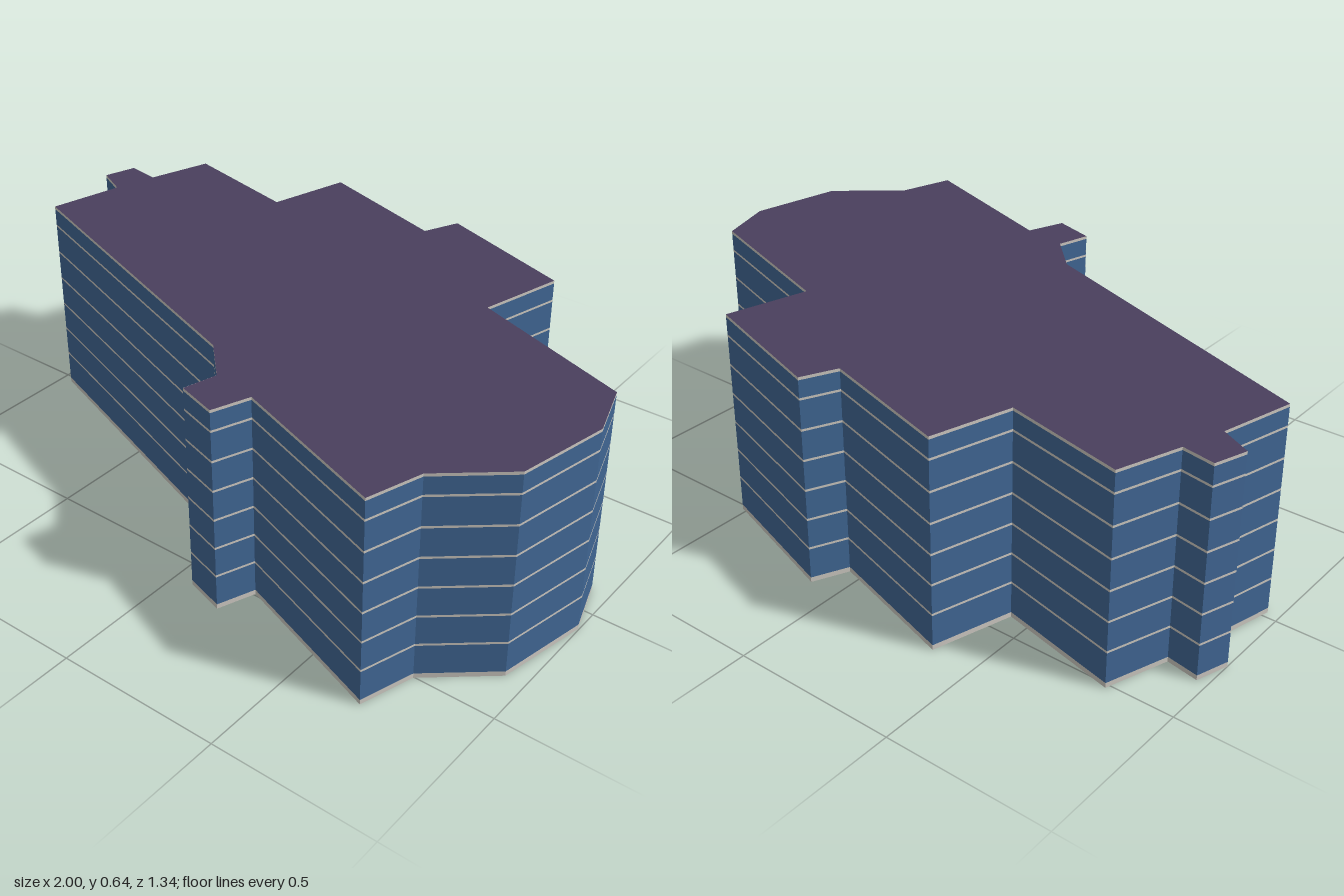
import * as THREE from 'three';

const HEIGHT = 0.645;

// Footprint corners (x, z), clockwise seen from above
const PLAN = [
  [-0.366, -0.672], [0.045, -0.55], [0.094, -0.655], [0.516, -0.516],
  [0.449, -0.265], [0.944, -0.095], [0.997, 0.075], [0.94, 0.35],
  [0.757, 0.503], [0.706, 0.666], [0.225, 0.495], [0.182, 0.607],
  [0.06, 0.57], [0.088, 0.47], [-0.019, 0.36], [-0.963, 0.022],
  [-0.907, -0.2], [-1, -0.246], [-0.968, -0.343], [-0.869, -0.326],
  [-0.805, -0.514], [-0.436, -0.43],
];

// Strip of wall following the footprint between two heights
function wallStrip(y0, y1, inward = false) {
  const pos = [];
  const s = inward ? 0.998 : 1;
  PLAN.forEach((p, i) => {
    const q = PLAN[(i + 1) % PLAN.length];
    const [a, b] = inward ? [p, q] : [q, p];
    const corner = ([x, z], y) => [x * s, y, z * s];
    const c = [corner(a, y0), corner(b, y0), corner(b, y1), corner(a, y1)];
    for (const k of [0, 1, 2, 0, 2, 3]) pos.push(...c[k]);
  });
  const g = new THREE.BufferGeometry();
  g.setAttribute('position', new THREE.Float32BufferAttribute(pos, 3));
  g.computeVertexNormals();
  return g;
}

// Flat sheet in the shape of the footprint
function sheet(y, down = false) {
  const sign = down ? 1 : -1;
  const shape = new THREE.Shape(PLAN.map(([x, z]) => new THREE.Vector2(x, sign * z)));
  return new THREE.ShapeGeometry(shape).rotateX(sign * Math.PI / 2).translate(0, y, 0);
}

export function createModel() {
  const mat = (name, color) => {
    const m = new THREE.MeshStandardMaterial({ color });
    m.name = name;
    return m;
  };
  const glass = mat('blue glass', 0x3f6592);
  const trim = mat('pale trim', 0xc9c5be);
  const roofing = mat('purple roofing', 0x4a3f5d);
  const lining = mat('grey lining', 0xbfc3cb);

  const building = new THREE.Group();
  building.name = 'building';
  const add = (name, geometry, material) => {
    const m = new THREE.Mesh(geometry, material);
    m.name = name;
    building.add(m);
  };

  // Trim bands at the base, at each floor line and under the roof
  const bands = [[0, 0.015]];
  for (let i = 0; i < 6; i++) {
    const y = 0.112 + i * 0.0935;
    bands.push([y - 0.0035, y + 0.0035]);
  }
  bands.push([HEIGHT - 0.009, HEIGHT]);

  // Glazed storeys fill the gaps between the bands
  bands.forEach(([y0, y1], i) => {
    add(`floorBand${i}`, wallStrip(y0, y1), trim);
    if (i < bands.length - 1) add(`glazing${i}`, wallStrip(y1, bands[i + 1][0]), glass);
  });

  // Roof, and the hollow interior seen through the open base
  add('roof', sheet(HEIGHT), roofing);
  add('innerWalls', wallStrip(0, HEIGHT, true), lining);
  add('ceiling', sheet(HEIGHT - 0.002, true), lining);

  return building;
}
